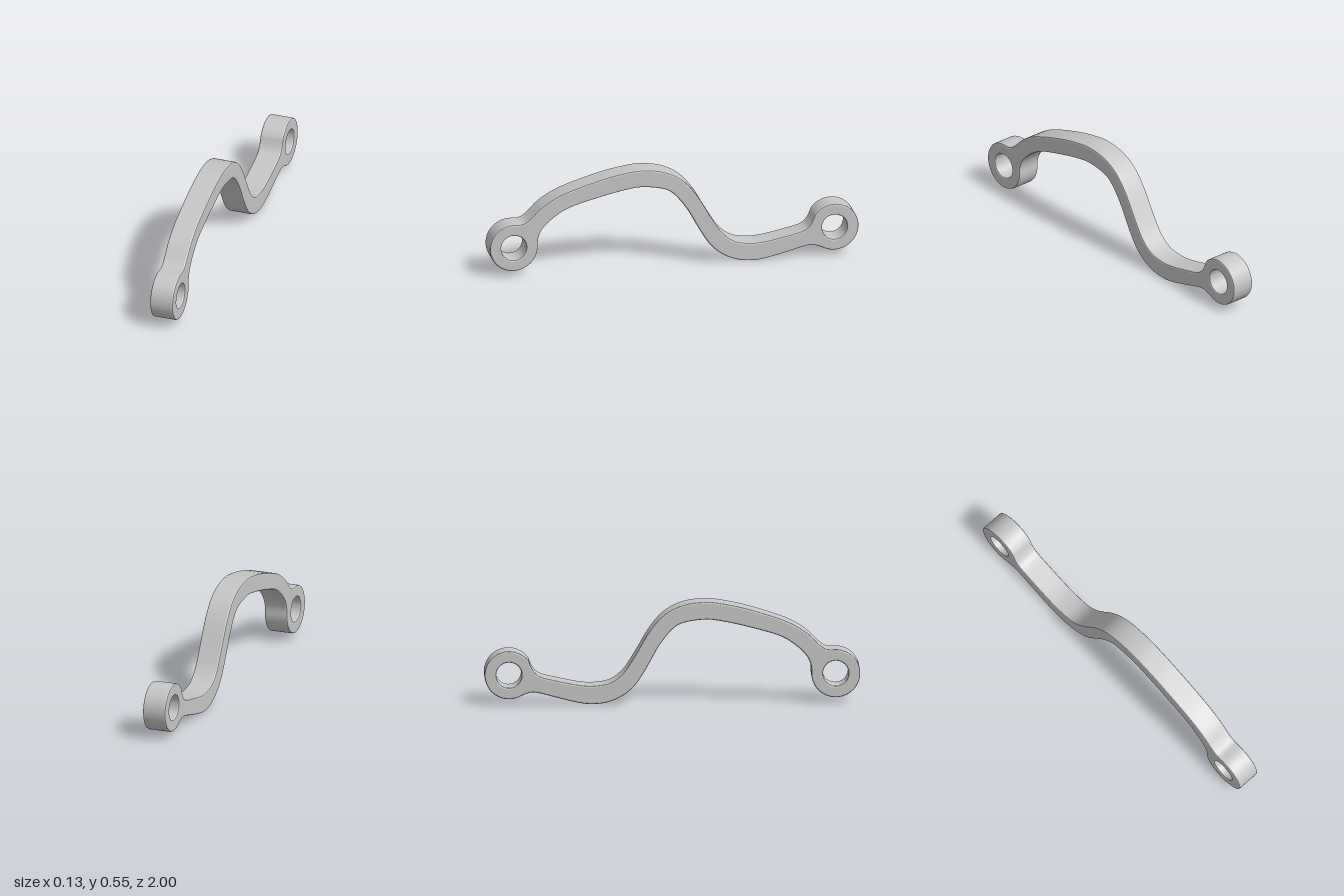
import * as THREE from 'three';
import { toCreasedNormals } from 'three/addons/utils/BufferGeometryUtils.js';

const RING = { z: 0.87, y: 0.16, outer: 0.13, hole: 0.068 };
const WIDTH = 0.13, BEVEL = 0.008;

// Points along an eyelet's rim, running clockwise between two angles in degrees
function rim(side, from, to) {
  const n = Math.ceil((from - to) / 6), pts = [];
  for (let i = 0; i <= n; i++) {
    const a = THREE.MathUtils.degToRad(from + (to - from) * i / n);
    pts.push(new THREE.Vector2(side * RING.z + RING.outer * Math.cos(a), RING.y + RING.outer * Math.sin(a)));
  }
  return pts;
}

// Smooth edge from the end of one rim to the start of the next
function edge(start, coords, end) {
  const pts = [start, ...coords.map(([x, y]) => new THREE.Vector2(x, y)), end];
  return new THREE.SplineCurve(pts).getPoints(90).slice(1, -1);
}

export function createModel() {
  const group = new THREE.Group();
  const grey = new THREE.MeshStandardMaterial({ color: 0xc6c6c6 });
  grey.name = 'grey';

  // Side profile: front eyelet, upper edge, rear eyelet, lower edge
  const front = rim(-1, 0, -272);
  const rear = rim(1, 145, -113);
  const upper = edge(front.at(-1), [
    [-0.82, 0.292], [-0.78, 0.318], [-0.71, 0.385], [-0.6, 0.447], [-0.4, 0.512], [-0.26, 0.542],
    [-0.17, 0.55], [-0.06, 0.535], [0.04, 0.485], [0.12, 0.395], [0.2, 0.26], [0.26, 0.17],
    [0.33, 0.116], [0.42, 0.1], [0.5, 0.105], [0.6, 0.125], [0.7, 0.15], [0.74, 0.183]
  ], rear[0]);
  const lower = edge(rear.at(-1), [
    [0.77, 0.061], [0.72, 0.064], [0.6, 0.033], [0.5, 0.009], [0.43, 0.001], [0.35, 0.009],
    [0.27, 0.042], [0.2, 0.1], [0.14, 0.19], [0.07, 0.315], [0.0, 0.403], [-0.06, 0.438],
    [-0.17, 0.455], [-0.26, 0.446], [-0.4, 0.415], [-0.57, 0.365], [-0.66, 0.31],
    [-0.715, 0.255], [-0.737, 0.205]
  ], front[0]);
  const profile = new THREE.Shape([...front, ...upper, ...rear, ...lower]);

  // Bored holes, wound against the clockwise outline so their walls face inward
  for (const side of [-1, 1]) {
    const hole = new THREE.Path();
    hole.absarc(side * RING.z, RING.y, RING.hole, 0, Math.PI * 2, false);
    profile.holes.push(hole);
  }

  // Extrude across the width with a fine bevel on both faces
  const solid = new THREE.ExtrudeGeometry(profile, {
    depth: WIDTH - 2 * BEVEL, curveSegments: 24, bevelEnabled: true,
    bevelThickness: BEVEL, bevelSize: BEVEL, bevelOffset: -BEVEL, bevelSegments: 2
  });
  solid.translate(0, 0, BEVEL - WIDTH / 2);
  solid.rotateY(Math.PI / 2);
  const link = new THREE.Mesh(toCreasedNormals(solid, 0.35), grey);
  link.name = 'curvedLinkArm';
  group.add(link);
  return group;
}
